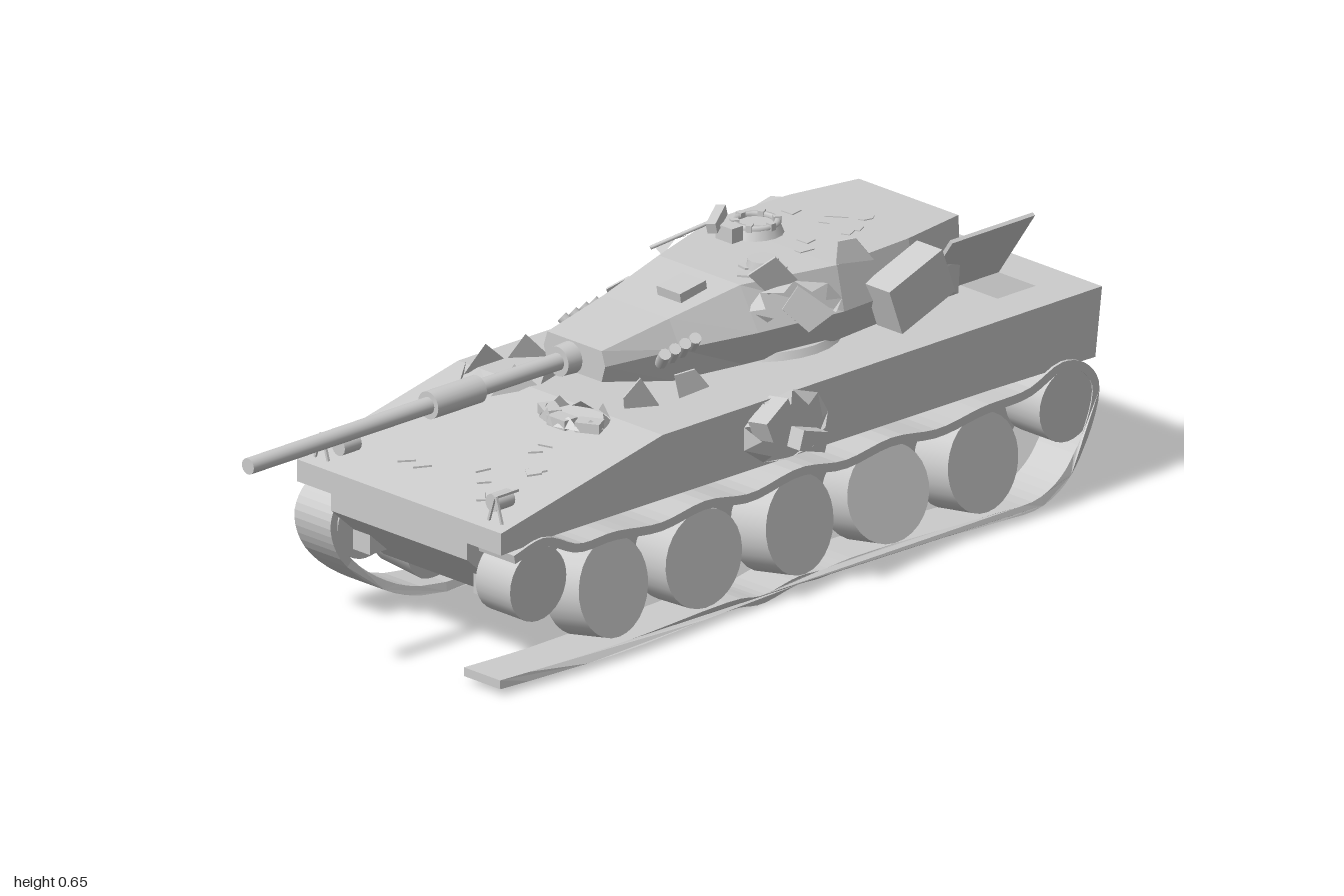
import * as THREE from 'three';

const mat = new THREE.MeshStandardMaterial({ color: 0xcccccc, flatShading: true, side: THREE.DoubleSide });
const smooth = new THREE.MeshStandardMaterial({ color: 0xcccccc });
const CX = -0.012; // centre line of the hull

let seed = 7;
const rnd = (a = 0, b = 1) => {
  seed = (seed * 16807) % 2147483647;
  return a + (b - a) * seed / 2147483647;
};

export function createModel() {
  const root = new THREE.Group();

  const add = (name, geo, pos = [0, 0, 0], rot = [0, 0, 0], m = mat, parent = root) => {
    const mesh = new THREE.Mesh(geo, m);
    mesh.name = name;
    mesh.position.set(...pos);
    mesh.rotation.set(...rot);
    parent.add(mesh);
    return mesh;
  };
  const box = (name, size, pos, rot, parent) => add(name, new THREE.BoxGeometry(...size), pos, rot, mat, parent);
  const cyl = (name, r0, r1, len, pos, rot, seg = 20, parent) =>
    add(name, new THREE.CylinderGeometry(r0, r1, len, seg), pos, rot, smooth, parent);

  // Side outline of [z, y] points, extruded from x0 to x1
  const slabGeo = (pts, x0, x1) => {
    const shape = new THREE.Shape(pts.map(p => new THREE.Vector2(p[0], p[1])));
    const geo = new THREE.ExtrudeGeometry(shape, { depth: x1 - x0, bevelEnabled: false });
    return geo.rotateY(-Math.PI / 2).translate(x1, 0, 0);
  };

  // Skin over equal-sized rings of [x, y, z] points, ordered back to front
  const loft = rings => {
    const v = [];
    const n = rings[0].length;
    for (let i = 0; i < rings.length - 1; i++) {
      for (let j = 0; j < n; j++) {
        const k = (j + 1) % n, a = rings[i], b = rings[i + 1];
        v.push(...a[j], ...a[k], ...b[k], ...a[j], ...b[k], ...b[j]);
      }
    }
    const first = rings[0], last = rings[rings.length - 1];
    for (let j = 1; j < n - 1; j++) {
      v.push(...first[0], ...first[j + 1], ...first[j], ...last[0], ...last[j], ...last[j + 1]);
    }
    const geo = new THREE.BufferGeometry();
    geo.setAttribute('position', new THREE.Float32BufferAttribute(v, 3));
    geo.computeVertexNormals();
    return geo;
  };

  // Thin torn plate with an irregular outline, lying in its own XY plane
  const shardGeo = (r, corners = 4, thick = 0.004) => {
    const pts = [];
    for (let i = 0; i < corners; i++) {
      const a = (i + rnd(-0.25, 0.25)) / corners * Math.PI * 2, q = r * rnd(0.6, 1.1);
      pts.push(new THREE.Vector2(Math.cos(a) * q, Math.sin(a) * q));
    }
    return new THREE.ExtrudeGeometry(new THREE.Shape(pts), { depth: thick, bevelEnabled: false });
  };

  // Ring of bent triangular petals around a blast hole
  const blast = (name, pos, rot, rx, ry, n, lift) => {
    const g = new THREE.Group();
    g.name = name;
    g.position.set(...pos);
    g.rotation.set(...rot);
    const v = [];
    for (let i = 0; i < n; i++) {
      const a = i / n * 2 * Math.PI, b = (i + 1) / n * 2 * Math.PI, c = (a + b) / 2, q = rnd(0.55, 0.9);
      v.push(Math.cos(a) * rx, Math.sin(a) * ry, 0, Math.cos(b) * rx, Math.sin(b) * ry, 0,
        Math.cos(c) * rx * q, Math.sin(c) * ry * q, lift * rnd(0.5, 1));
    }
    const geo = new THREE.BufferGeometry();
    geo.setAttribute('position', new THREE.Float32BufferAttribute(v, 3));
    geo.computeVertexNormals();
    add('tornPetals', geo, [0, 0, 0], [0, 0, 0], mat, g);
    root.add(g);
  };

  // Hull: lower tub, upper body and the walls round the open engine bay
  add('lowerHull', slabGeo([[0.6, 0.3], [0.6, 0.25], [0.46, 0.125], [-0.84, 0.125], [-0.98, 0.29]], -0.2, 0.176));
  add('upperHull', slabGeo([[0.6, 0.33], [0.6, 0.285], [0.45, 0.29], [-0.7, 0.285], [-0.7, 0.42], [0.17, 0.42]], -0.295, 0.27));
  const bayWall = [[-0.7, 0.42], [-0.7, 0.285], [-0.982, 0.28], [-1, 0.42]];
  add('bayWallRight', slabGeo(bayWall, -0.295, -0.2));
  add('bayWallLeft', slabGeo(bayWall, 0.18, 0.27));
  add('rearPlate', slabGeo([[-0.91, 0.42], [-0.91, 0.285], [-0.982, 0.28], [-1, 0.42]], -0.2, 0.18));
  add('bayFloor', slabGeo([[-0.7, 0.365], [-0.7, 0.285], [-0.91, 0.285], [-0.91, 0.365]], -0.2, 0.18));
  box('engineCover', [0.17, 0.008, 0.16], [-0.115, 0.415, -0.83], [0, 0, -0.06]);
  box('bentEngineDoor', [0.175, 0.008, 0.22], [0.13, 0.497, -0.795], [0, 0, 0.96]);

  // Running gear
  for (const s of [-1, 1]) {
    const side = new THREE.Group();
    side.name = s > 0 ? 'runningGearLeft' : 'runningGearRight';
    side.position.x = CX + s * 0.238;
    root.add(side);
    [0.305, 0.06, -0.19, -0.435, -0.68].forEach((z, i) => {
      const camber = s * [0.16, 0.06, 0.14, 0.2, 0.12][i];
      const yaw = [0.08, -0.03, 0.1, -0.1, 0.06][(i + (s > 0 ? 0 : 2)) % 5];
      cyl('roadWheel', 0.099, 0.099, 0.09, [0, 0.136, z], [0, yaw, Math.PI / 2 + camber], 28, side);
    });
    for (const z of [0.505, -0.905]) {
      cyl('endWheel', 0.075, 0.075, 0.095, [0, 0.203, z], [0, 0, Math.PI / 2], 28, side);
      box('axleBlock', [0.05, 0.065, 0.07], [-s * 0.07, 0.188, z], [0, 0, 0], side);
    }
    // Broken track: the right one is open at the back, the left one at the front
    const frontBend = [[0.37, 0.03], [0.49, 0.08], [0.575, 0.16], [0.592, 0.225], [0.56, 0.27]];
    const rearBend = [[-0.945, 0.27], [-0.978, 0.225], [-0.95, 0.13], [-0.9, 0.07], [-0.82, 0.03]];
    const top = [[0.49, 0.286], [0.4, 0.25], [0.305, 0.25], [0.18, 0.236], [0.06, 0.25], [-0.06, 0.234], [-0.19, 0.252],
      [-0.31, 0.236], [-0.435, 0.25], [-0.56, 0.236], [-0.68, 0.25], [-0.8, 0.255], [-0.89, 0.286]];
    const ground = [[-0.35, 0.025], [-0.26, 0.02], [-0.2, 0.024], [-0.1, 0.012], [-0.02, 0.025]];
    const path = s < 0
      ? [[-1, 0.025], [-0.7, 0.025], ...ground, ...frontBend, ...top, [-0.955, 0.27]]
      : [[0.57, 0.27], ...top, ...rearBend, [-0.7, 0.025], ...ground, [0.3, 0.025], [0.61, 0.025]];
    const curve = new THREE.CatmullRomCurve3(path.map(p => new THREE.Vector3(p[0], p[1], 0)));
    const outer = [], inner = [];
    for (let i = 0; i <= 110; i++) {
      const p = curve.getPoint(i / 110), t = curve.getTangent(i / 110);
      outer.push([p.x - t.y * 0.009, p.y + t.x * 0.009]);
      inner.unshift([p.x + t.y * 0.009, p.y - t.x * 0.009]);
    }
    const geo = slabGeo([...outer, ...inner], -0.05, 0.05);
    const pos = geo.attributes.position;
    for (let i = 0; i < pos.count; i++) { // snaking run on the ground
      const f = Math.max(0, 1 - pos.getY(i) / 0.1);
      pos.setX(i, pos.getX(i) + f * 0.022 * Math.sin(pos.getZ(i) * 5));
    }
    add('track', geo, [0, 0, 0], [0, 0, 0], mat, side);
  }

  // Turret: [z, topL, topR, midL, midR, botL, botR, yTop, yMid, yBot]
  const sections = [
    [-0.757, -0.15, 0.125, -0.155, 0.13, -0.15, 0.125, 0.59, 0.5, 0.43],
    [-0.6, -0.18, 0.15, -0.2, 0.17, -0.16, 0.13, 0.59, 0.5, 0.43],
    [-0.4, -0.185, 0.16, -0.2, 0.18, -0.16, 0.14, 0.59, 0.5, 0.425],
    [-0.2, -0.125, 0.1, -0.17, 0.15, -0.13, 0.11, 0.585, 0.5, 0.425],
    [-0.03, -0.1, 0.08, -0.13, 0.11, -0.11, 0.09, 0.555, 0.5, 0.43],
    [0.14, -0.08, 0.07, -0.09, 0.08, -0.08, 0.07, 0.53, 0.5, 0.467],
  ];
  add('turret', loft(sections.map(([z, tl, tr, ml, mr, bl, br, yt, ym, yb]) =>
    [[mr, ym, z], [tr, yt, z], [tl, yt, z], [ml, ym, z], [bl, yb, z], [br, yb, z]])));
  cyl('turretRing', 0.16, 0.17, 0.02, [CX, 0.425, -0.35], [0, 0, 0], 28);
  box('stowageBoxLeft', [0.07, 0.1, 0.15], [0.2, 0.515, -0.555], [0.35, 0, 0]);
  box('stowageBoxRight', [0.05, 0.1, 0.12], [-0.205, 0.515, -0.565], [0.1, 0.15, 0.15]);

  // Main gun
  const gunX = -0.015, gunY = 0.495, along = [Math.PI / 2, 0, 0];
  cyl('gunBarrel', 0.0165, 0.0175, 0.9, [gunX, gunY, 0.55], along);
  cyl('boreEvacuator', 0.028, 0.028, 0.13, [gunX, gunY, 0.455], along);
  cyl('gunCollar', 0.03, 0.033, 0.05, [gunX, gunY, 0.15], along);

  // Cupola with machine gun, loader hatch and sight
  cyl('cupola', 0.048, 0.056, 0.02, [-0.08, 0.598, -0.415], [0, 0, 0], 16);
  add('cupolaRing', new THREE.TorusGeometry(0.042, 0.007, 6, 20), [-0.08, 0.61, -0.415], along, smooth);
  for (let i = 0; i < 6; i++) {
    const a = i * Math.PI / 3;
    box('periscope', [0.016, 0.014, 0.012], [-0.08 + Math.cos(a) * 0.042, 0.612, -0.415 + Math.sin(a) * 0.042], [0, -a, 0]);
  }
  cyl('loaderHatch', 0.03, 0.034, 0.018, [0.065, 0.597, -0.295], [0, 0, 0], 12);
  box('machineGunBody', [0.02, 0.022, 0.07], [-0.1, 0.632, -0.33], [0.25, 0.5, 0]);
  box('machineGunMount', [0.045, 0.03, 0.03], [-0.075, 0.61, -0.34]);
  cyl('machineGunBarrel', 0.004, 0.004, 0.13, [-0.135, 0.607, -0.27], [Math.PI / 2 + 0.4, 0, 0.5], 8);
  box('gunnerSight', [0.065, 0.025, 0.07], [0.022, 0.577, -0.12], [0.15, 0, 0]);

  for (const s of [-1, 1]) {
    // Smoke launchers on each cheek
    for (let i = 0; i < 4; i++) {
      cyl('smokeLauncher', 0.012, 0.012, 0.045, [CX + s * 0.128, 0.508 - i * 0.004, -0.06 + i * 0.027],
        [0.5, 0, -s * 0.7], 10);
    }
    // Headlight and its guard on the front slope
    const x = CX + s * 0.212;
    const lamp = cyl('headlight', 0.018, 0.018, 0.05, [x, 0.363, 0.535], along, 16);
    lamp.scale.y = 0.9;
    for (const t of [-1, 1]) {
      box('lampGuard', [0.005, 0.055, 0.005], [x + s * 0.028 + t * 0.01, 0.362, 0.575], [0, 0, t * 0.3]);
    }
    box('lampGuardStay', [0.005, 0.005, 0.06], [x + s * 0.028, 0.386, 0.545]);
  }

  // Blast damage
  blast('sideBreach', [0.27, 0.355, -0.155], [0, Math.PI / 2, 0], 0.115, 0.07, 9, 0.045);
  blast('frontBreach', [0.08, 0.415, 0.22], [-Math.PI / 2, 0, 0], 0.08, 0.06, 8, 0.03);
  blast('turretBreachLeft', [0.155, 0.535, -0.29], [0, 1.2, 0], 0.1, 0.05, 8, 0.04);
  blast('turretBreachRight', [-0.17, 0.535, -0.29], [0, -1.2, 0], 0.09, 0.05, 8, 0.035);
  blast('deckBreach', [-0.17, 0.415, 0.15], [-Math.PI / 2, 0, 0], 0.08, 0.13, 7, 0.07);
  box('sideFragment', [0.045, 0.045, 0.08], [0.29, 0.388, -0.1], [0.4, 0.2, 0]);
  box('sideFragment', [0.035, 0.04, 0.07], [0.288, 0.32, -0.2], [-0.3, 0, 0]);
  for (let i = 0; i < 3; i++) box('deckRubble', [0.05, 0.02, 0.035], [0.025 + i * 0.055, 0.42, 0.235 + (i % 2) * 0.02], [0, (i - 1) * 0.5, 0]);
  for (const [x, y, z, rz] of [[-0.215, 0.475, -0.2, 0.8], [-0.19, 0.44, -0.05, 0.5], [0.17, 0.61, -0.42, -0.7],
    [0.14, 0.6, -0.25, -0.4], [0.185, 0.53, -0.3, -1], [0.16, 0.45, 0, -0.8], [0.13, 0.44, 0.1, 1]]) {
    add('tornPlate', shardGeo(0.05, 4), [x, y, z], [rnd(-0.6, 0.6), 1, rz]);
  }

  // Splinter scars on the turret roof and the front slope
  for (let i = 0; i < 14; i++) {
    add('roofScar', shardGeo(0.022, 3 + i % 3), [rnd(-0.13, 0.11), 0.588, rnd(-0.7, -0.22)], [-Math.PI / 2, 0, rnd(0, 6)]);
  }
  for (let i = 0; i < 9; i++) {
    const z = rnd(0.28, 0.55);
    add('slopeScar', shardGeo(0.024, 3 + i % 2), [rnd(-0.15, 0.2), 0.42 - (z - 0.17) * 0.209, z], [-Math.PI / 2 + 0.206, 0, 0]);
  }
  return root;
}
